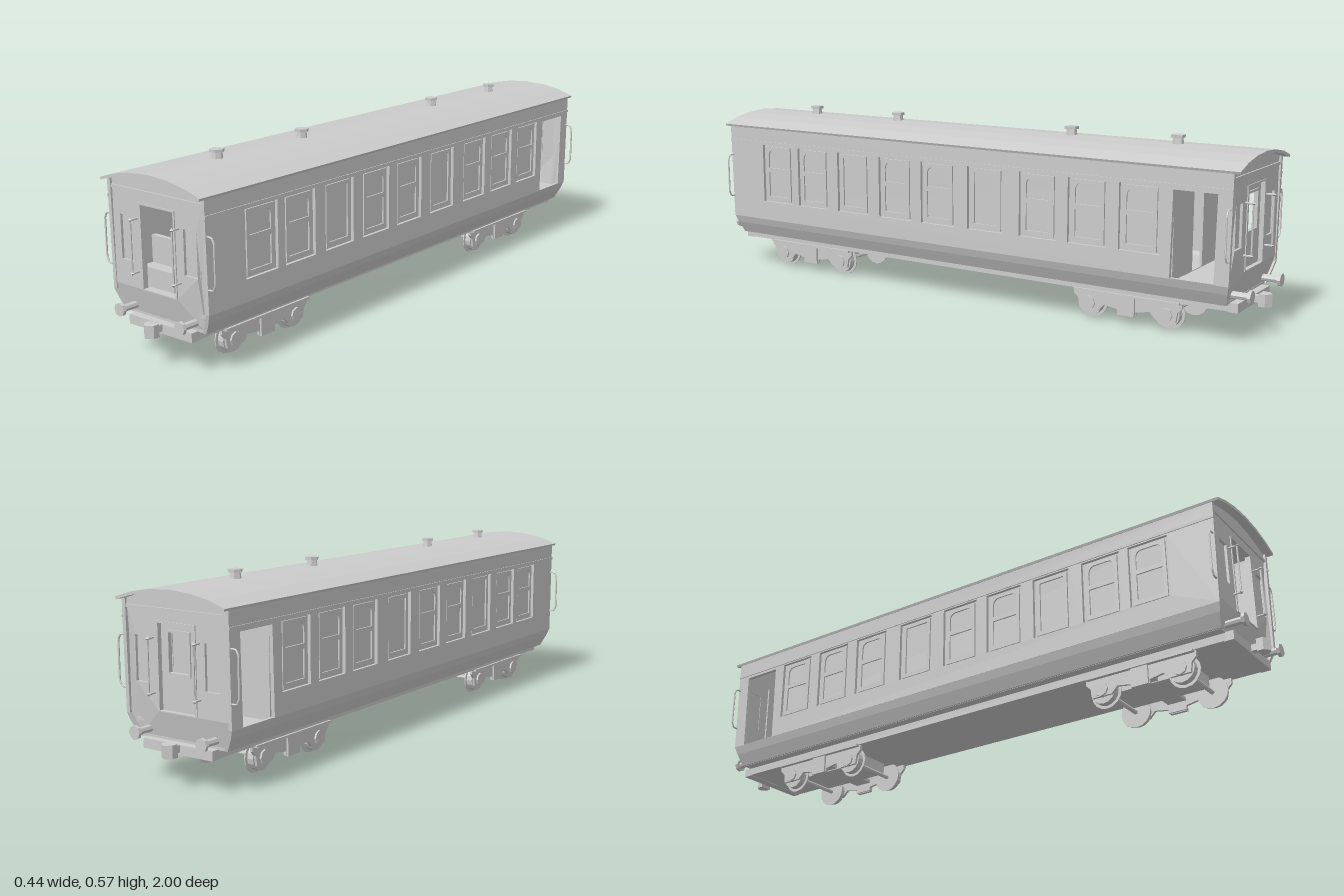
import * as THREE from 'three';

const grey = new THREE.MeshStandardMaterial({ color: 0xcccccc, flatShading: true, side: THREE.DoubleSide });

export function createModel() {
  const root = new THREE.Group();
  root.name = 'railwayCoach';

  const add = (name, geo, parent = root) => {
    const m = new THREE.Mesh(geo, grey);
    m.name = name;
    parent.add(m);
    return m;
  };
  // box given by its limits
  const box = (name, x0, x1, y0, y1, z0, z1, parent) =>
    add(name, new THREE.BoxGeometry(x1 - x0, y1 - y0, z1 - z0)
      .translate((x0 + x1) / 2, (y0 + y1) / 2, (z0 + z1) / 2), parent);
  const poly = (pts, Type = THREE.Shape) => new Type(pts.map(p => new THREE.Vector2(...p)));
  const rect = (x0, x1, y0, y1, Type) => poly([[x0, y0], [x1, y0], [x1, y1], [x0, y1]], Type);
  const extrude = (shape, depth) => new THREE.ExtrudeGeometry(shape, { depth, bevelEnabled: false, curveSegments: 8 });
  // shape drawn in (z, y), given thickness between x0 and x1
  const sideways = (shape, x0, x1) => extrude(shape, x1 - x0).rotateY(-Math.PI / 2).translate(x1, 0, 0);
  const mirrorPts = pts => [...pts, ...pts.filter(p => p[0] > 0).reverse().map(([x, y]) => [-x, y])];
  // ends lean inward below the waist
  const turnUnder = geo => {
    const p = geo.attributes.position;
    for (let i = 0; i < p.count; i++)
      p.setZ(i, p.getZ(i) - Math.sign(p.getZ(i)) * Math.max(0, 0.2 - p.getY(i)) * 0.25);
    geo.computeVertexNormals();
    return geo;
  };

  // --- body sides ---
  const bays = [0.73, 0.57, 0.395, 0.22, 0.05, -0.13, -0.32, -0.49, -0.66];
  const half = 0.065;
  const arch = (z, w, y0, y1, Type = THREE.Shape) => {
    const s = new Type();
    s.moveTo(z - w, y0);
    s.lineTo(z + w, y0);
    s.lineTo(z + w, y1 - 0.025);
    s.quadraticCurveTo(z + w, y1, z + w * 0.5, y1);
    s.lineTo(z - w * 0.5, y1);
    s.quadraticCurveTo(z - w, y1, z - w, y1 - 0.025);
    s.closePath();
    return s;
  };
  for (const s of [1, -1]) {
    const side = new THREE.Group();
    side.name = s > 0 ? 'leftSide' : 'rightSide';
    root.add(side);
    const span = (a, b) => s > 0 ? [a, b] : [-b, -a];

    const wall = poly([[-0.945, 0.18], [-0.9, 0.18], [-0.9, 0.44], [-0.765, 0.44], [-0.765, 0.18],
      [0.945, 0.18], [0.945, 0.507], [-0.945, 0.507]]);
    for (const z of bays) wall.holes.push(rect(z - half, z + half, 0.245, 0.445, THREE.Path));
    add('sideWall', turnUnder(sideways(wall, ...span(0.178, 0.19))), side);
    box('windowBacking', ...span(0.174, 0.18), 0.24, 0.45, -0.745, 0.83, side);

    // sashes: plain doors in two bays, arched lights elsewhere
    bays.forEach((z, i) => {
      const sash = rect(z - 0.055, z + 0.055, 0.25, 0.44);
      if (i === 2 || i === 5) sash.holes.push(rect(z - 0.043, z + 0.043, 0.265, 0.428, THREE.Path));
      else {
        sash.holes.push(arch(z, 0.043, 0.365, 0.428, THREE.Path));
        sash.holes.push(rect(z - 0.043, z + 0.043, 0.265, 0.35, THREE.Path));
      }
      add('windowSash', sideways(sash, ...span(0.179, 0.185)), side);
    });

    // curved lower panel
    const lower = poly([[0.19, 0.182], [0.18, 0.155], [0.16, 0.117], [0.148, 0.117], [0.168, 0.158], [0.178, 0.182]]
      .map(([x, y]) => [s * x, y]));
    add('lowerPanel', turnUnder(extrude(lower, 1.89).translate(0, 0, -0.945)), side);
    box('waistMoulding', ...span(0.188, 0.193), 0.449, 0.457, -0.945, 0.945, side);

    // corner grab handles
    for (const e of [1, -1]) {
      const path = new THREE.CurvePath();
      const pts = [[0.185, 0.253], [0.207, 0.253], [0.215, 0.27], [0.215, 0.385], [0.207, 0.4], [0.185, 0.4]]
        .map(([x, y]) => new THREE.Vector3(s * x, y, e * 0.938));
      for (let i = 0; i < pts.length - 1; i++) path.add(new THREE.LineCurve3(pts[i], pts[i + 1]));
      add('cornerHandle', new THREE.TubeGeometry(path, 24, 0.003, 6), side);
    }
  }

  // --- end walls ---
  const endOutline = mirrorPts([[0, 0.117], [0.155, 0.117], [0.177, 0.157], [0.185, 0.2], [0.185, 0.505],
    [0.13, 0.522], [0.065, 0.532], [0, 0.536]]);
  for (const e of [1, -1]) {
    const end = new THREE.Group();
    end.name = e > 0 ? 'frontEnd' : 'backEnd';
    root.add(end);
    const span = (a, b) => e > 0 ? [a, b] : [-b, -a];
    const plate = (name, shape, a, b) =>
      add(name, turnUnder(extrude(shape, b - a).translate(0, 0, span(a, b)[0])), end);

    const wall = poly(endOutline);
    wall.holes.push(rect(-0.07, 0.07, 0.2, 0.45, THREE.Path));
    for (const s of [1, -1]) {
      const [a, b] = s > 0 ? [0.1, 0.15] : [-0.15, -0.1];
      wall.holes.push(rect(a, b, 0.275, 0.405, THREE.Path));
      box('endPane', a - 0.005, b + 0.005, 0.27, 0.41, ...span(0.926, 0.93), end);
    }
    plate('endWall', wall, 0.924, 0.938);

    const frame = rect(-0.07, 0.07, 0.2, 0.45);
    frame.holes.push(rect(-0.064, 0.064, 0.203, 0.445, THREE.Path));
    plate('doorFrame', frame, 0.924, 0.941);
    if (e < 0) {
      const door = rect(-0.066, 0.066, 0.2, 0.448);
      door.holes.push(rect(-0.035, 0.035, 0.31, 0.42, THREE.Path));
      plate('endDoor', door, 0.918, 0.927);
      const trim = rect(-0.042, 0.042, 0.303, 0.427);
      trim.holes.push(rect(-0.035, 0.035, 0.31, 0.42, THREE.Path));
      plate('doorWindowTrim', trim, 0.926, 0.931);
    }
    box('endMoulding', -0.183, 0.183, 0.478, 0.487, ...span(0.936, 0.943), end);

    // door handrails, buffers and coupler
    for (const s of [1, -1]) {
      const x = s * 0.082;
      add('doorRail', new THREE.CylinderGeometry(0.003, 0.003, 0.15, 6).translate(x, 0.327, e * 0.962), end);
      for (const y of [0.25, 0.403]) {
        add('railBracket', new THREE.CylinderGeometry(0.003, 0.004, 0.03, 6)
          .rotateX(Math.PI / 2).translate(x, y, e * 0.949), end);
        add('railKnob', new THREE.OctahedronGeometry(0.007).translate(x, y, e * 0.962), end);
      }
      add('bufferShank', new THREE.CylinderGeometry(0.011, 0.011, 0.06, 8)
        .rotateX(Math.PI / 2).translate(s * 0.12, 0.142, e * 0.95), end);
      add('bufferHead', new THREE.CylinderGeometry(0.02, 0.02, 0.01, 8)
        .rotateX(Math.PI / 2).translate(s * 0.12, 0.142, e * 0.98), end);
    }
    box('headstock', -0.125, 0.125, 0.09, 0.118, ...span(0.915, 0.945), end);
    box('couplerShank', -0.01, 0.01, 0.098, 0.118, ...span(0.94, 0.975), end);
    const knuckle = poly([[-0.02, 0.965], [0.02, 0.965], [0.02, 0.985], [0, 1], [-0.02, 0.985]].map(([x, z]) => [x, -e * z]));
    add('coupler', extrude(knuckle, 0.038).rotateX(-Math.PI / 2).translate(0, 0.089, 0), end);
  }

  // --- roof and ventilators ---
  const arc = [[0.195, 0.508], [0.14, 0.526], [0.075, 0.538], [0, 0.543]];
  const top = mirrorPts(arc);
  const bottom = mirrorPts([[0.192, 0.501], [0.137, 0.517], [0.073, 0.529], [0, 0.534]]).reverse();
  const order = pts => pts.slice().sort((a, b) => a[0] - b[0]);
  add('roof', extrude(poly([...order(bottom), ...order(top).reverse()]), 1.93).translate(0, 0, -0.965));
  for (const z of [0.705, 0.345, -0.33, -0.69]) {
    add('ventBase', new THREE.CylinderGeometry(0.015, 0.019, 0.024, 6).rotateY(Math.PI / 6).translate(0, 0.55, z));
    add('ventCap', new THREE.CylinderGeometry(0.022, 0.022, 0.009, 6).rotateY(Math.PI / 6).translate(0, 0.565, z));
  }

  // --- floor, underframe and interior ---
  box('floor', -0.176, 0.176, 0.16, 0.17, -0.925, 0.925);
  box('underfloor', -0.155, 0.155, 0.116, 0.124, -0.92, 0.92);
  box('underframe', -0.125, 0.125, 0.092, 0.118, -0.92, 0.92);
  const bulkhead = rect(-0.176, 0.176, 0.17, 0.505);
  bulkhead.holes.push(rect(-0.036, 0.036, 0.172, 0.42, THREE.Path));
  add('bulkhead', extrude(bulkhead, 0.008).translate(0, 0, -0.763));
  for (const s of [1, -1])
    for (const z of [0.8, 0.6, 0.4, 0.2, 0, -0.2, -0.4, -0.6]) {
      const [a, b] = s > 0 ? [0.04, 0.172] : [-0.172, -0.04];
      box('seat', a, b, 0.17, 0.228, z - 0.05, z + 0.05);
      box('seatBack', a, b, 0.228, 0.31, z - 0.008, z + 0.008);
    }

  // --- bogies ---
  for (const z of [0.645, -0.592]) {
    const bogie = new THREE.Group();
    bogie.name = 'bogie';
    bogie.position.z = z;
    root.add(bogie);
    box('bolster', -0.065, 0.065, 0.055, 0.093, -0.13, 0.13, bogie);
    box('bolsterCross', -0.115, 0.115, 0.058, 0.069, -0.03, 0.03, bogie);
    const outline = poly(mirrorPts([[0, 0.03], [0.03, 0.03], [0.03, 0.042], [0.075, 0.05], [0.095, 0.03],
      [0.16, 0.03], [0.165, 0.06], [0.18, 0.075], [0.18, 0.093], [0, 0.093]]));
    for (const s of [1, -1]) {
      const span = (a, b) => s > 0 ? [a, b] : [-b, -a];
      add('bogieFrame', sideways(outline, ...span(0.11, 0.119)), bogie);
      box('springBox', ...span(0.115, 0.126), 0.028, 0.092, -0.028, 0.028, bogie);
      box('stepBoard', ...span(0.11, 0.132), 0.087, 0.094, -0.175, 0.175, bogie);
      for (const w of [0.128, -0.128]) {
        const disc = (name, r, a, b, n) => add(name, new THREE.CylinderGeometry(r, r, b - a, n)
          .rotateZ(Math.PI / 2).translate(s * (a + b) / 2, 0.05, w), bogie);
        disc('wheelFlange', 0.05, 0.086, 0.09, 16);
        disc('wheelTread', 0.041, 0.09, 0.111, 16);
        disc('axleBox', 0.022, 0.111, 0.125, 8);
      }
    }
    for (const w of [0.128, -0.128])
      add('axle', new THREE.CylinderGeometry(0.007, 0.007, 0.18, 8).rotateZ(Math.PI / 2).translate(0, 0.05, w), bogie);
  }
  return root;
}
